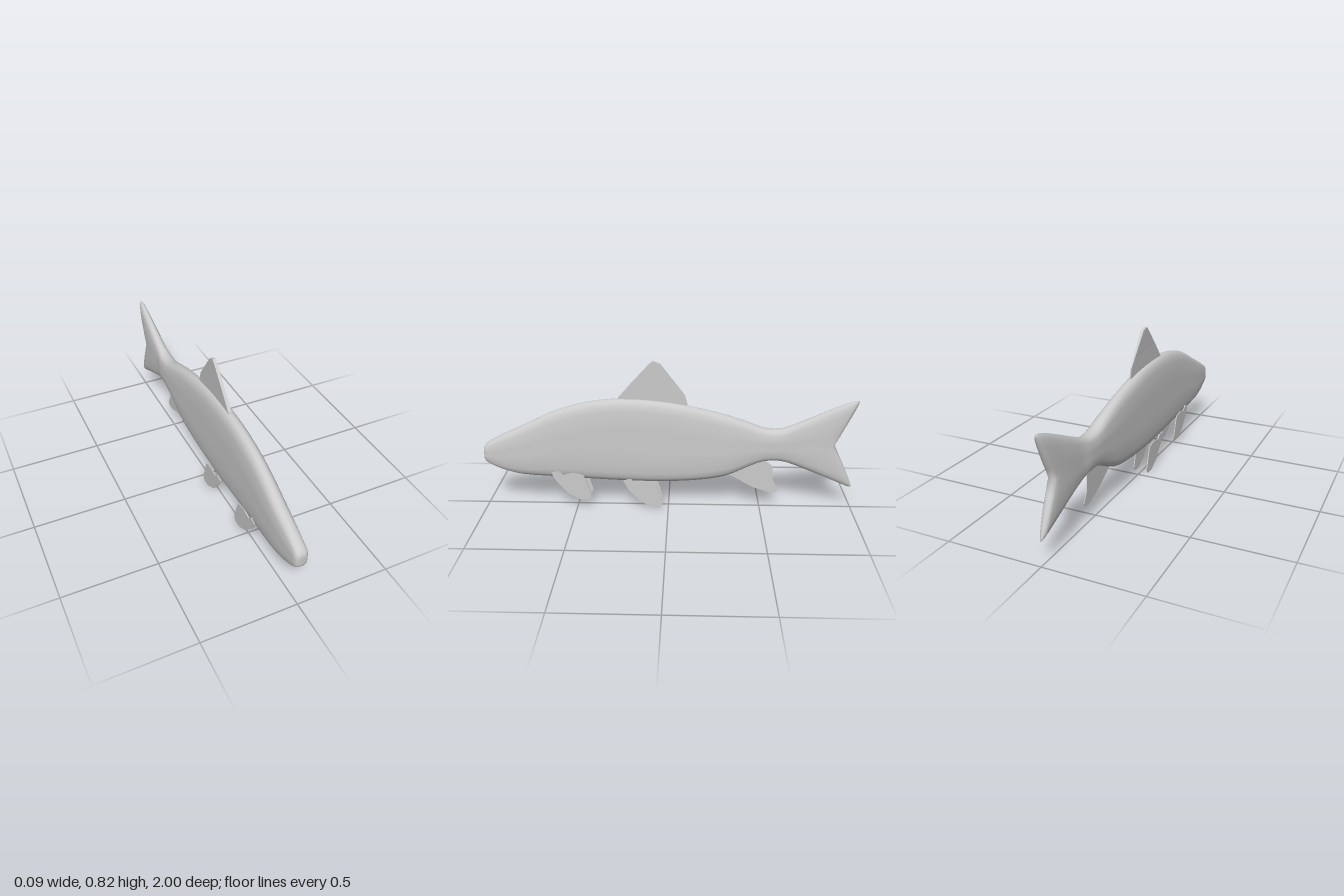
import * as THREE from 'three';

const material = new THREE.MeshStandardMaterial({ color: 0xcccccc, side: THREE.DoubleSide });

// Body stations from nose to tail: z, top y, bottom y, half width, fork depth
const STATIONS = [
  [1, 0.315, 0.295, 0, 0], [0.997, 0.342, 0.27, 0.026, 0], [0.98, 0.363, 0.25, 0.035, 0],
  [0.9, 0.41, 0.208, 0.04, 0], [0.8, 0.457, 0.182, 0.044, 0], [0.6, 0.555, 0.168, 0.045, 0],
  [0.42, 0.605, 0.158, 0.045, 0], [0.25, 0.622, 0.15, 0.045, 0], [0.02, 0.608, 0.147, 0.045, 0],
  [-0.2, 0.565, 0.163, 0.045, 0], [-0.32, 0.533, 0.19, 0.045, 0], [-0.42, 0.498, 0.238, 0.045, 0],
  [-0.5, 0.468, 0.274, 0.045, 0], [-0.55, 0.461, 0.281, 0.044, 0], [-0.6, 0.464, 0.279, 0.042, 0],
  [-0.66, 0.485, 0.262, 0.035, 0], [-0.8, 0.55, 0.204, 0.033, 0.03], [-0.92, 0.604, 0.152, 0.028, 0.07],
  [-0.975, 0.622, 0.129, 0.022, 0.1], [-0.99, 0.622, 0.125, 0.014, 0.108], [-0.996, 0.616, 0.13, 0, 0.111],
];

// Slab-like half section: inset from the back or belly edge, fraction of half width
const EDGE = [[0, 0], [0.004, 0.3], [0.013, 0.53], [0.03, 0.76], [0.06, 0.89], [0.12, 1]];

function ring([z, top, bottom, width, fork]) {
  const h = (top - bottom) / 2, mid = (top + bottom) / 2;
  const scale = Math.min(1, h / 0.2);
  const lower = EDGE.map(([d, f]) => [d * scale - h, f * width]);
  const middle = [-0.5, 0, 0.5].map((k) => [k * (h - 0.12 * scale), width]);
  const upper = lower.map(([y, x]) => [-y, x]).reverse();
  const side = [...lower, ...middle, ...upper];
  const other = side.slice(1, -1).reverse().map(([y, x]) => [y, -x]);
  return [...side, ...other].map(([y, x]) => {
    const inner = 1 - Math.min(1, Math.abs(y) / h);
    return [x, mid + y, z + fork * Math.pow(inner, 1.1)];
  });
}

function bodyGeometry() {
  const outline = new THREE.CatmullRomCurve3(STATIONS.map((s) => new THREE.Vector3(s[0], s[1], s[2])));
  const steps = (STATIONS.length - 1) * 3;
  const positions = [], index = [];
  let count = 0;
  for (let i = 0; i <= steps; i++) {
    const p = outline.getPoint(i / steps);
    const k = Math.min(Math.floor(i / 3), STATIONS.length - 2), f = i / 3 - k;
    const mix = (c) => THREE.MathUtils.lerp(STATIONS[k][c], STATIONS[k + 1][c], f);
    const points = ring([p.x, p.y, p.z, mix(3), mix(4)]);
    count = points.length;
    positions.push(...points.flat());
  }
  for (let i = 0; i < steps; i++) {
    for (let j = 0; j < count; j++) {
      const a = i * count + j, b = i * count + (j + 1) % count;
      index.push(a, a + count, b, b, a + count, b + count);
    }
  }
  const geometry = new THREE.BufferGeometry();
  geometry.setAttribute('position', new THREE.Float32BufferAttribute(positions, 3));
  geometry.setIndex(index);
  geometry.computeVertexNormals();
  return geometry;
}

// Flat fin cut from a (z, y) outline, centred on x = 0
function finGeometry(outline, thickness) {
  const shape = new THREE.Shape(outline.map(([z, y]) => new THREE.Vector2(z, y)));
  const geometry = new THREE.ExtrudeGeometry(shape, { depth: thickness, bevelEnabled: false });
  geometry.translate(0, 0, -thickness / 2);
  return geometry.rotateY(-Math.PI / 2);
}

export function createModel() {
  const model = new THREE.Group();
  model.name = 'fish';
  const add = (name, geometry, x = 0, y = 0, z = 0) => {
    const mesh = new THREE.Mesh(geometry, material);
    mesh.name = name;
    mesh.position.set(x, y, z);
    model.add(mesh);
  };

  add('bodyAndTail', bodyGeometry());

  // Dorsal fin, thinning towards its trailing edge
  const dorsal = finGeometry([
    [0.27, 0.6], [0.265, 0.625], [0.2, 0.7], [0.1, 0.81], [0.08, 0.826], [0.045, 0.812],
    [-0.05, 0.69], [-0.085, 0.645], [-0.1, 0.59], [0.08, 0.58],
  ], 0.018);
  const pos = dorsal.attributes.position;
  for (let i = 0; i < pos.count; i++) {
    const t = THREE.MathUtils.clamp((0.08 - pos.getZ(i)) / 0.18, 0, 1);
    pos.setX(i, pos.getX(i) * (1 - 0.65 * t) - 0.004 * (1 - t));
  }
  dorsal.computeVertexNormals();
  add('dorsalFin', dorsal);

  // Paired fins share one outline
  const paired = finGeometry([
    [0.635, 0.205], [0.595, 0.216], [0.57, 0.192], [0.52, 0.205], [0.46, 0.193], [0.44, 0.14],
    [0.42, 0.07], [0.433, 0.045], [0.48, 0.045], [0.55, 0.085], [0.61, 0.155],
  ], 0.005);
  for (const [side, sign] of [['left', 1], ['right', -1]]) {
    add(side + 'PectoralFin', paired, sign * 0.041);
    add(side + 'PelvicFin', paired, sign * 0.039, -0.042, -0.39);
  }

  // Anal fin
  add('analFin', finGeometry([
    [-0.32, 0.2], [-0.46, 0.12], [-0.55, 0.09], [-0.59, 0.092], [-0.598, 0.112],
    [-0.568, 0.165], [-0.56, 0.25], [-0.52, 0.28], [-0.42, 0.27],
  ], 0.003), 0.008);

  return model;
}
